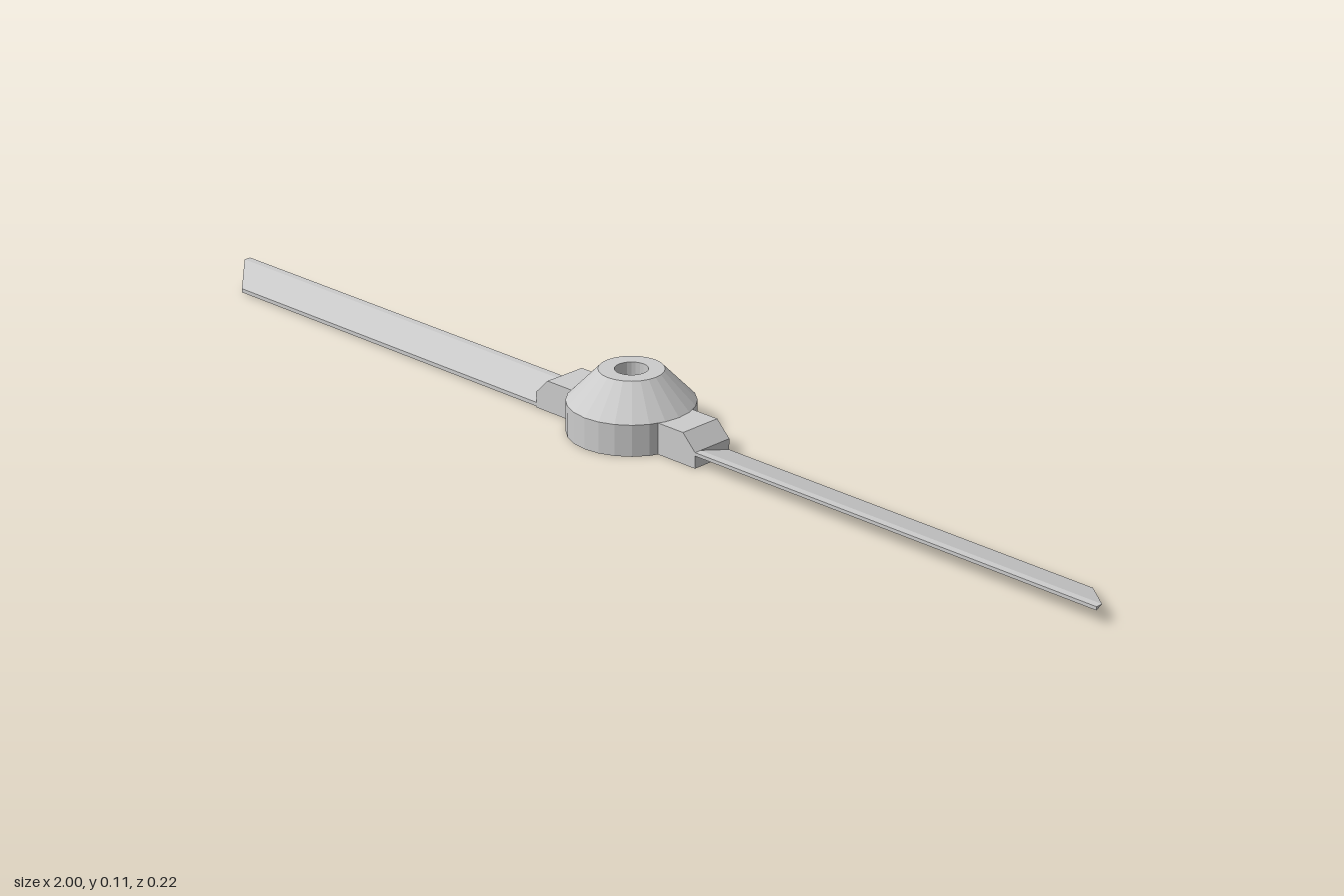
import * as THREE from 'three';

const material = new THREE.MeshStandardMaterial({ color: 0xcccccc, flatShading: true });

function part(name, geometry) {
  const mesh = new THREE.Mesh(geometry, material);
  mesh.name = name;
  return mesh;
}

function outline(points) {
  return new THREE.Shape(points.map(([x, y]) => new THREE.Vector2(x, y)));
}

// Hub: cylinder with a conical top and a bore right through
function hubGeometry() {
  const profile = [[0.028, 0], [0.108, 0], [0.108, 0.055], [0.055, 0.11], [0.028, 0.11], [0.028, 0]];
  return new THREE.LatheGeometry(profile.map(([r, y]) => new THREE.Vector2(r, y)), 24);
}

// Blade root: block with a chamfered outer end
function rootGeometry() {
  const side = outline([[0.06, 0], [0.182, 0], [0.182, 0.028], [0.155, 0.055], [0.06, 0.055]]);
  const geometry = new THREE.ExtrudeGeometry(side, { depth: 0.08, bevelEnabled: false });
  return geometry.translate(0, 0, -0.04);
}

// Blade: pitched section swept along x, with the tip cut back obliquely
function bladeGeometry() {
  const start = 0.15;
  const section = outline([[-0.04, 0.022], [0.04, 0.002], [0.04, 0.009], [-0.027, 0.028], [-0.04, 0.028]]);
  const geometry = new THREE.ExtrudeGeometry(section, { depth: 1 - start, bevelEnabled: false });
  geometry.rotateY(Math.PI / 2).translate(start, 0, 0);
  const p = geometry.attributes.position;
  for (let i = 0; i < p.count; i++) {
    if (p.getX(i) > 0.9) p.setX(i, 1 - Math.max(0, 0.027 - p.getZ(i)) * 1.04);
  }
  geometry.computeVertexNormals();
  return geometry;
}

export function createModel() {
  const model = new THREE.Group();
  model.name = 'propeller';
  model.add(part('hub', hubGeometry()));

  // Two identical arms, half a turn apart
  const root = rootGeometry();
  const blade = bladeGeometry();
  ['leftArm', 'rightArm'].forEach((name, i) => {
    const arm = new THREE.Group();
    arm.name = name;
    arm.add(part('bladeRoot', root), part('blade', blade));
    arm.rotation.y = i * Math.PI;
    model.add(arm);
  });
  return model;
}
